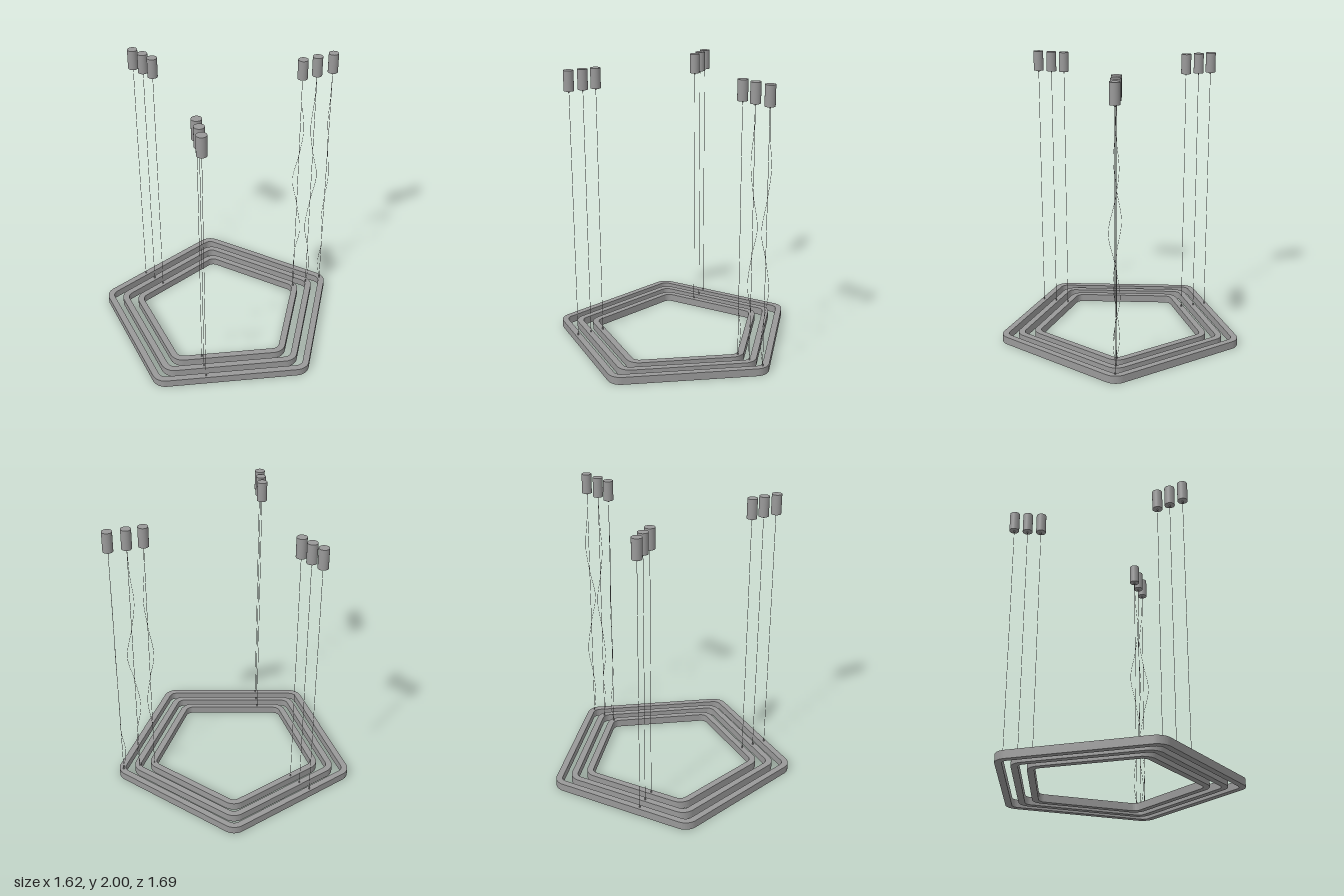
import * as THREE from 'three';
import { toCreasedNormals } from 'three/addons/utils/BufferGeometryUtils.js';

const CENTRE_X = -0.079;
const RING_HEIGHT = 0.055;
const RING_WIDTH = 0.045;
const CORNER_RADIUS = 0.0985;
const CAP_BOTTOM = 1.86;

// Adds a regular pentagon with rounded corners, one corner towards +x
function tracePentagon(path, apothem, radius) {
  const reach = (apothem - radius) / Math.cos(Math.PI / 5);
  for (let i = 0; i < 5; i++) {
    const a = (i * Math.PI * 2) / 5;
    path.absarc(CENTRE_X + reach * Math.cos(a), reach * Math.sin(a), radius,
      a - Math.PI / 5, a + Math.PI / 5, false);
  }
  path.closePath();
  return path;
}

export function createModel() {
  const model = new THREE.Group();
  const material = new THREE.MeshStandardMaterial({ color: 0x999999 });

  function add(name, geometry, x = 0, y = 0, z = 0) {
    const mesh = new THREE.Mesh(geometry, material);
    mesh.name = name;
    mesh.position.set(x, y, z);
    model.add(mesh);
  }

  // Three nested light rings
  [0.732, 0.637, 0.54].forEach((apothem, i) => {
    const shape = tracePentagon(new THREE.Shape(), apothem, CORNER_RADIUS);
    shape.holes.push(tracePentagon(new THREE.Path(), apothem - RING_WIDTH, CORNER_RADIUS - RING_WIDTH));
    const ring = new THREE.ExtrudeGeometry(shape, { depth: RING_HEIGHT, bevelEnabled: false, curveSegments: 10 });
    ring.rotateX(-Math.PI / 2);
    add(`ring${i + 1}`, toCreasedNormals(ring, 0.6));
  });

  // Ceiling caps with their straight suspension wires
  const capGeometry = new THREE.CylinderGeometry(0.035, 0.035, 2 - CAP_BOTTOM, 32);
  const wireLength = CAP_BOTTOM - RING_HEIGHT;
  const wireGeometry = new THREE.CylinderGeometry(0.0015, 0.0015, wireLength, 8);
  const ferruleGeometry = new THREE.CylinderGeometry(0.005, 0.005, 0.014, 12);
  const hangers = [
    [0.775, 0], [0.652, 0], [0.54, 0],
    [-0.445, -0.63], [-0.405, -0.543], [-0.37, -0.453],
    [-0.475, 0.62], [-0.448, 0.523], [-0.425, 0.43],
  ];
  for (const [x, z] of hangers) {
    add('ceilingCap', capGeometry, x, (2 + CAP_BOTTOM) / 2, z);
    add('suspensionWire', wireGeometry, x, RING_HEIGHT + wireLength / 2, z);
    add('upperFerrule', ferruleGeometry, x, CAP_BOTTOM - 0.006, z);
    add('lowerFerrule', ferruleGeometry, x, RING_HEIGHT + 0.006, z);
  }

  // Power cables winding loosely beside the wires at the pointed corner:
  // they sway along one direction, then turn aside near the ring
  const sway = [[1.86, 0], [1.66, 0.2], [1.45, 0.65], [1.25, 0], [1.03, -1], [0.83, 0], [0.6, 0.8], [0.4, 0]];
  const cables = [
    { direction: [0.006, -0.042], low: [-0.024, 0] },
    { direction: [-0.042, 0], low: [0.006, 0.02] },
    { direction: [0.027, 0.03], low: [0.006, -0.02] },
  ];
  cables.forEach(({ direction, low }, i) => {
    const [x, z] = hangers[i];
    const points = sway.map(([y, s]) => new THREE.Vector3(x + direction[0] * s, y, z + direction[1] * s));
    points.push(new THREE.Vector3(x + low[0], 0.22, z + low[1]), new THREE.Vector3(x, 0.05, z));
    const curve = new THREE.CatmullRomCurve3(points);
    add('powerCable', new THREE.TubeGeometry(curve, 80, 0.0012, 6));
  });

  return model;
}
